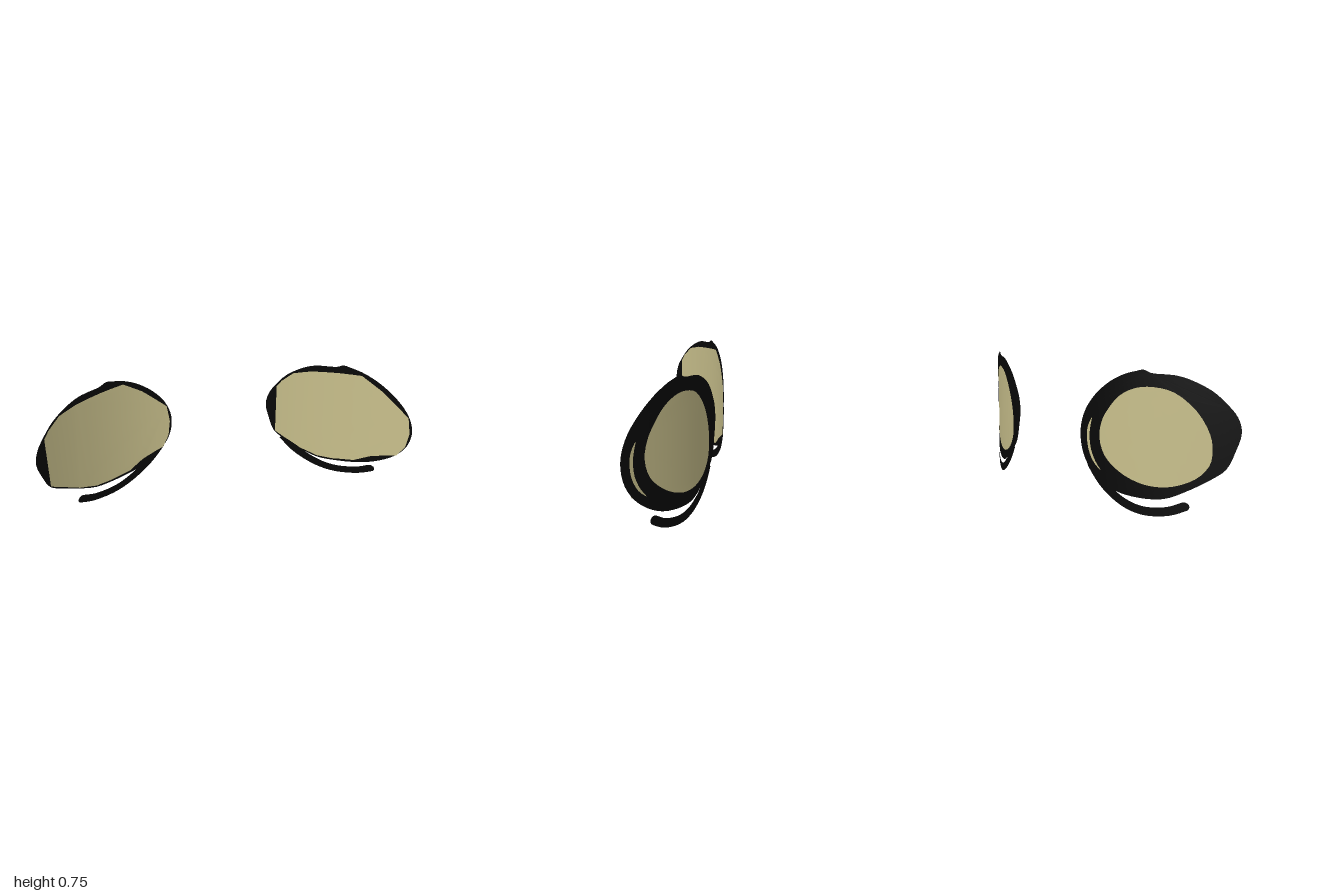
import * as THREE from 'three';
import { mergeVertices } from 'three/addons/utils/BufferGeometryUtils.js';

const V = (x, y) => new THREE.Vector2(x, y);
const toPoints = (list) => list.map(([x, y]) => V(x, y));

// Closed smooth loop through a few points
function smoothLoop(list, samples) {
  const curve = new THREE.CatmullRomCurve3(
    list.map(([x, y]) => new THREE.Vector3(x, y, 0)), true, 'centripetal');
  return curve.getPoints(samples).slice(0, -1).map((p) => V(p.x, p.y));
}

// Both eyes lie on a wrapped sheet whose depth depends on the sideways position
function sheetDepth(x) {
  const a = Math.abs(x);
  const bend = x < 0 ? 0.495 : 0.405;
  return -0.183 + 0.3127 * (a - 0.265) + bend * (a - 0.265) * (a - 0.62);
}

// Split every triangle in four so that a flat shape can be bent
function subdivide(tris, times) {
  for (let n = 0; n < times; n++) {
    const next = [];
    for (const [a, b, c] of tris) {
      const ab = a.clone().lerp(b, 0.5), bc = b.clone().lerp(c, 0.5), ca = c.clone().lerp(a, 0.5);
      next.push([a, ab, ca], [ab, b, bc], [ca, bc, c], [ab, bc, ca]);
    }
    tris = next;
  }
  return tris;
}

// Flat outline with holes, bent onto the sheet
function bentPlate(name, material, outline, holes, offset) {
  const shape = new THREE.Shape(outline);
  for (const h of holes) shape.holes.push(new THREE.Path(h));
  const flat = new THREE.ShapeGeometry(shape).toNonIndexed();
  const pos = flat.attributes.position;
  const tris = [];
  for (let i = 0; i < pos.count; i += 3) {
    tris.push([0, 1, 2].map((k) => V(pos.getX(i + k), pos.getY(i + k))));
  }
  const coords = [];
  for (const t of subdivide(tris, 3)) {
    for (const p of t) coords.push(p.x, p.y, sheetDepth(p.x) + offset);
  }
  let geo = new THREE.BufferGeometry();
  geo.setAttribute('position', new THREE.Float32BufferAttribute(coords, 3));
  geo = mergeVertices(geo, 1e-5);
  geo.computeVertexNormals();
  const mesh = new THREE.Mesh(geo, material);
  mesh.name = name;
  return mesh;
}

// Brush stroke of even width with a round end
function strokeOutline(list, half) {
  const curve = new THREE.SplineCurve(toPoints(list));
  const upper = [], lower = [], cap = [];
  for (let i = 0; i <= 24; i++) {
    const p = curve.getPoint(i / 24), t = curve.getTangent(i / 24);
    upper.push(V(p.x - t.y * half, p.y + t.x * half));
    lower.push(V(p.x + t.y * half, p.y - t.x * half));
  }
  const p0 = curve.getPoint(0), t0 = curve.getTangent(0);
  const start = Math.atan2(t0.x, -t0.y);
  for (let i = 1; i < 8; i++) {
    const a = start + (i / 8) * Math.PI;
    cap.push(V(p0.x + Math.cos(a) * half, p0.y + Math.sin(a) * half));
  }
  return [...cap, ...lower, ...upper.reverse()];
}

// Outer edge of the dark rim
const RIM = [
  [-1, 0.48], [-0.985, 0.55], [-0.95, 0.605], [-0.89, 0.67], [-0.8, 0.72], [-0.74, 0.735],
  [-0.645, 0.738], [-0.61, 0.752], [-0.575, 0.743], [-0.52, 0.725], [-0.44, 0.68], [-0.36, 0.61],
  [-0.3, 0.53], [-0.27, 0.45], [-0.266, 0.38], [-0.285, 0.3], [-0.33, 0.23], [-0.39, 0.18],
  [-0.46, 0.145], [-0.53, 0.128], [-0.63, 0.122], [-0.71, 0.132], [-0.79, 0.172], [-0.9, 0.25],
  [-0.95, 0.3], [-0.98, 0.385],
];
// Angular pale eye surface
const FILL = [
  [-0.945, 0.595], [-0.92, 0.63], [-0.86, 0.68], [-0.77, 0.697], [-0.63, 0.703], [-0.52, 0.705],
  [-0.42, 0.63], [-0.29, 0.5], [-0.276, 0.4], [-0.287, 0.31], [-0.32, 0.24], [-0.44, 0.195],
  [-0.52, 0.145], [-0.63, 0.134], [-0.71, 0.142], [-0.8, 0.185], [-0.9, 0.262], [-0.945, 0.3],
];
// Openings at the back of the rim
const OPENING = [
  [-0.385, 0.4], [-0.4, 0.485], [-0.435, 0.547], [-0.495, 0.618], [-0.575, 0.662], [-0.655, 0.672],
  [-0.745, 0.652], [-0.835, 0.57], [-0.888, 0.462], [-0.898, 0.382], [-0.888, 0.312],
  [-0.835, 0.242], [-0.745, 0.197], [-0.665, 0.187], [-0.585, 0.2], [-0.495, 0.24], [-0.415, 0.31],
];
const CRESCENT = [
  [-0.34, 0.492], [-0.316, 0.45], [-0.308, 0.405], [-0.317, 0.332], [-0.35, 0.267], [-0.395, 0.23],
  [-0.362, 0.272], [-0.334, 0.332], [-0.325, 0.402], [-0.332, 0.455],
];
// Centre line of the lower lash stroke
const LASH = [
  [-0.795, 0.104], [-0.73, 0.073], [-0.64, 0.06], [-0.56, 0.073], [-0.48, 0.112],
  [-0.4, 0.175], [-0.33, 0.26],
];

export function createModel() {
  const model = new THREE.Group();
  model.name = 'eyes';
  const pale = new THREE.MeshStandardMaterial({ color: 0xc9c08c, side: THREE.DoubleSide });
  pale.name = 'paleOlive';
  const black = new THREE.MeshStandardMaterial({ color: 0x080808, side: THREE.DoubleSide });
  black.name = 'black';

  for (const side of ['right', 'left']) {
    const isLeft = side === 'left';
    // The eye shape is repeated sideways, only the lash is mirrored
    const shift = ([x, y]) => (isLeft ? [x + 1.265, y - 0.042] : [x, y]);
    const flip = ([x, y]) => (isLeft ? [0.035 - x, y - 0.037] : [x, y]);
    const eye = new THREE.Group();
    eye.name = side + 'Eye';
    eye.add(
      bentPlate('eyeSurface', pale, toPoints(FILL.map(shift)), [], 0),
      bentPlate('rim', black, smoothLoop(RIM.map(shift), 78),
        [smoothLoop(OPENING.map(shift), 51), smoothLoop(CRESCENT.map(shift), 30)], -0.003),
      bentPlate('lowerLash', black, strokeOutline(LASH.map(flip), 0.022), [], -0.004),
    );
    model.add(eye);
  }
  return model;
}
